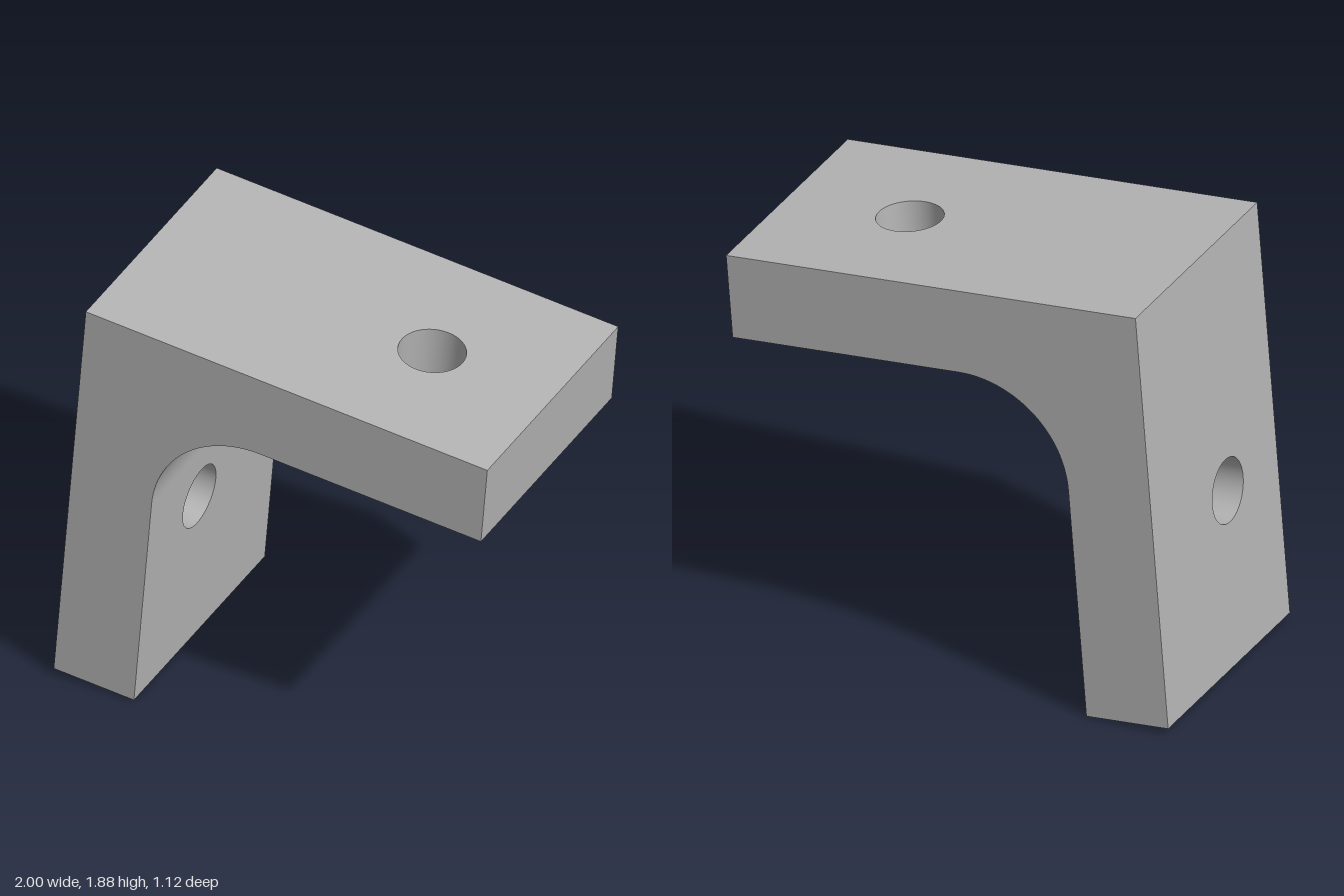
import * as THREE from 'three';

const L = 1.858;   // outer length of each arm
const T = 0.371;   // thickness
const D = 1.115;   // depth
const R = 0.465;   // inner fillet radius
const HOLE = 0.14; // bolt hole radius
const TOP_HOLE_X = 1.3;
const SIDE_HOLE_Y = -1.095, SIDE_HOLE_Z = 0.112;
const TILT = 0.0797;

// Flat rectangle facing +z, optionally pierced by a round hole
function panel(x0, x1, y0, y1, hole) {
  const shape = new THREE.Shape([[x0, y0], [x1, y0], [x1, y1], [x0, y1]].map(p => new THREE.Vector2(...p)));
  if (hole) {
    shape.holes.push(new THREE.Path().absarc(hole[0], hole[1], HOLE, 0, Math.PI * 2, true));
  }
  return new THREE.ShapeGeometry(shape, 32);
}

// Smooth cylinder wall seen from the inside
function hollow(radius, length, segments, start = 0, sweep = Math.PI * 2) {
  const geo = new THREE.CylinderGeometry(radius, radius, length, segments, 1, true, start, sweep);
  geo.scale(-1, 1, 1);
  const n = geo.attributes.normal;
  for (let i = 0; i < n.count; i++) n.setXYZ(i, -n.getX(i), -n.getY(i), -n.getZ(i));
  return geo;
}

// L-shaped cheek with a rounded inner corner, facing +z
function cheek(side) {
  const pts = [[0, 0], [0, -L], [T, -L]];
  for (let i = 0; i <= 32; i++) {
    const a = Math.PI - (i / 32) * Math.PI / 2;
    pts.push([T + R + R * Math.cos(a), -T - R + R * Math.sin(a)]);
  }
  pts.push([L, -T], [L, 0]);
  return new THREE.ShapeGeometry(new THREE.Shape(pts.map(([x, y]) => new THREE.Vector2(side * x, y))));
}

export function createModel() {
  const model = new THREE.Group();
  model.name = 'angleBracket';
  const steel = new THREE.MeshStandardMaterial({ color: 0xb4b4b4 });
  steel.name = 'plain grey';

  // Arms run along +x and -y from the outer corner, then the whole is tilted
  const body = new THREE.Group();
  body.name = 'bracketBody';
  body.rotation.z = -TILT;
  body.position.set(-1 + L * Math.sin(TILT), L * Math.cos(TILT) + T * Math.sin(TILT), 0);
  model.add(body);

  const add = (name, geometry, x = 0, y = 0, z = 0) => {
    const mesh = new THREE.Mesh(geometry, steel);
    mesh.name = name;
    mesh.position.set(x, y, z);
    body.add(mesh);
  };
  const q = Math.PI / 2, h = D / 2;

  // Cheeks
  add('frontCheek', cheek(1), 0, 0, h);
  add('backCheek', cheek(-1).rotateY(Math.PI), 0, 0, -h);

  // Upper arm
  add('upperArmTop', panel(0, L, -h, h, [TOP_HOLE_X, 0]).rotateX(-q));
  add('upperArmUnderside', panel(T + R, L, -h, h, [TOP_HOLE_X, 0]).rotateX(q), 0, -T);
  add('upperArmEnd', panel(-h, h, -T, 0).rotateY(q), L);
  add('upperArmHole', hollow(HOLE, T, 64), TOP_HOLE_X, -T / 2);

  // Upright arm
  add('uprightOuterFace', panel(-h, h, -L, 0, [SIDE_HOLE_Z, SIDE_HOLE_Y]).rotateY(-q));
  add('uprightInnerFace', panel(-h, h, -L, -T - R, [-SIDE_HOLE_Z, SIDE_HOLE_Y]).rotateY(q), T);
  add('uprightFoot', panel(0, T, -h, h).rotateX(q), 0, -L);
  add('uprightHole', hollow(HOLE, T, 64).rotateZ(q), T / 2, SIDE_HOLE_Y, SIDE_HOLE_Z);

  // Rounded inner corner
  add('innerFillet', hollow(R, D, 32, q, q).rotateX(q), T + R, -T - R);

  return model;
}
